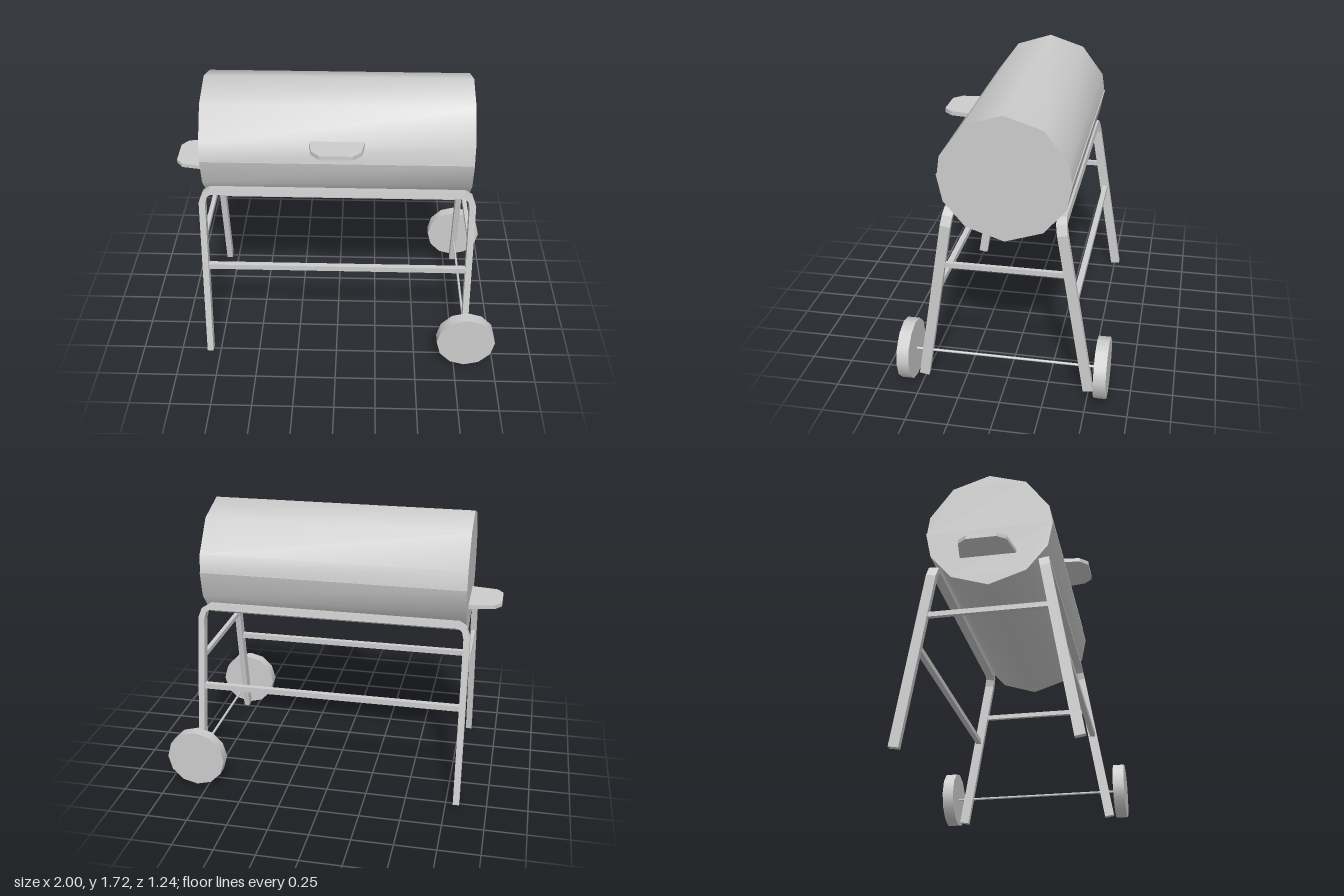
import * as THREE from 'three';
import { toCreasedNormals } from 'three/addons/utils/BufferGeometryUtils.js';

const material = new THREE.MeshStandardMaterial({ color: 0xcccccc });
const LEAN = 0.162; // outward lean of the leg frames
const LEG_X = 0.815;

function add(group, name, geometry, x = 0, y = 0, z = 0) {
  const mesh = new THREE.Mesh(geometry, material);
  mesh.name = name;
  mesh.position.set(x, y, z);
  group.add(mesh);
  return mesh;
}

function extrude(points, depth) {
  const shape = new THREE.Shape(points.map(([x, y]) => new THREE.Vector2(x, y)));
  return new THREE.ExtrudeGeometry(shape, { depth, bevelEnabled: false });
}

// half of the drum: profile in (z, y), mirrored, extruded along x, smooth round the curve
function drumHalf(side) {
  const mirrored = side.slice(0, -1).reverse().map(([z, y]) => [-z, y]);
  const geometry = extrude([...side, ...mirrored], 1.605);
  geometry.rotateY(Math.PI / 2).translate(-0.804, 0, 0);
  return toCreasedNormals(geometry, 0.9);
}

// flat plate: outline in (x, z), hanging down from y = 0
function plate(outline, thickness) {
  return extrude(outline, thickness).rotateX(Math.PI / 2);
}

// inverted U with chamfered corners; local y = 0 is the top of the bar
function legFrame(lengthLeft, lengthRight) {
  const outer = [[0.834, -0.09], [0.812, -0.03], [0.765, 0]];
  const inner = [[0.762, -0.038], [0.785, -0.055], [0.796, -0.1]];
  const flip = (list) => list.map(([x, y]) => [-x, y]).reverse();
  const points = [
    [0.834, -lengthRight], ...outer, ...flip(outer), [-0.834, -lengthLeft],
    [-0.796, -lengthLeft], ...flip(inner), ...inner, [0.796, -lengthRight],
  ];
  return extrude(points, 0.06).translate(0, 0, -0.03);
}

export function createModel() {
  const model = new THREE.Group();
  model.name = 'barrelGrill';

  // drum
  add(model, 'lid', drumHalf([[0.378, 1.345], [0.362, 1.461], [0.223, 1.648], [0, 1.72]]));
  add(model, 'firebox', drumHalf([[0.383, 1.35], [0.35, 1.19], [0.223, 1.04], [0, 0.967]]));

  // lid handle and side shelf
  add(model, 'lidHandle', plate([
    [-0.163, 0.345], [0.163, 0.345], [0.145, 0.46], [0.095, 0.51], [-0.095, 0.51], [-0.145, 0.46],
  ], 0.026), 0, 1.48, 0);
  add(model, 'sideShelf', plate([
    [-0.79, -0.175], [-0.96, -0.145], [-1, -0.092], [-1, 0.085], [-0.96, 0.137], [-0.79, 0.167],
  ], 0.024), 0, 1.184, 0);

  // leaning leg frames with a long rail each, and wheels
  for (const s of [1, -1]) {
    const end = s > 0 ? 'front' : 'back';
    const frame = add(model, end + 'LegFrame', legFrame(1.145, 1.125), 0, 1.135, s * 0.32);
    frame.rotation.x = -s * LEAN;
    add(model, end + 'Rail', new THREE.BoxGeometry(1.61, 0.034, 0.034), 0, 0.612, s * 0.408);
    const wheel = new THREE.CylinderGeometry(0.182, 0.182, 0.073, 12).rotateX(Math.PI / 2);
    add(model, end + 'Wheel', wheel, LEG_X, 0.195, s * 0.582);
  }

  // cross braces between the frames
  for (const s of [1, -1]) {
    add(model, s > 0 ? 'leftBrace' : 'rightBrace',
      new THREE.BoxGeometry(0.026, 0.03, 0.72), s * LEG_X, 0.795, 0);
  }

  // axle
  const axle = new THREE.CylinderGeometry(0.008, 0.008, 1.12, 8).rotateX(Math.PI / 2);
  add(model, 'axle', axle, LEG_X, 0.195, 0);

  return model;
}
